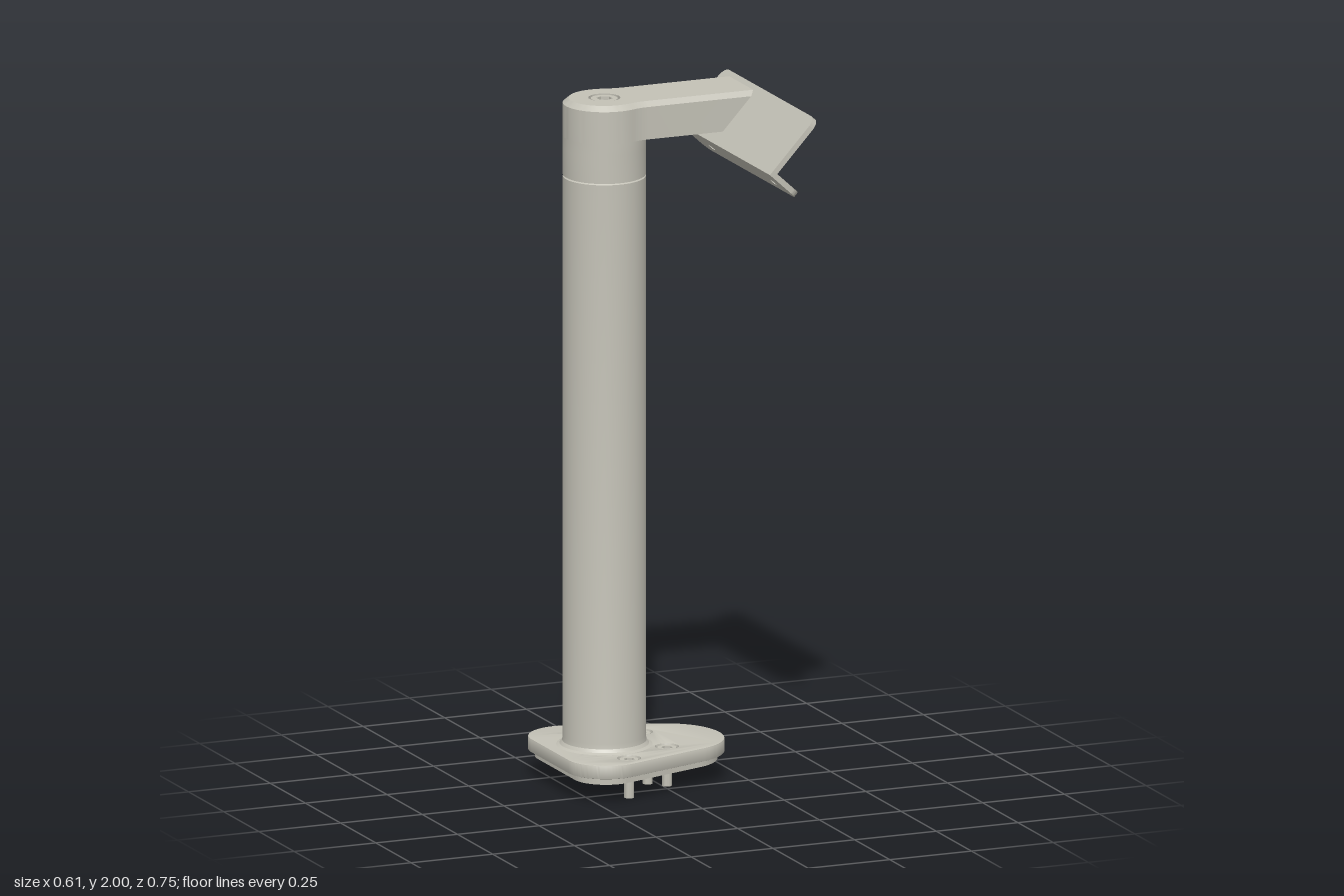
import * as THREE from 'three';
import { toCreasedNormals } from 'three/addons/utils/BufferGeometryUtils.js';

const AX = -0.138, AZ = -0.127; // column axis

export function createModel() {
  const model = new THREE.Group();
  model.name = 'postMount';
  const metal = new THREE.MeshStandardMaterial({ color: 0xc3c1b6 });
  metal.name = 'warm grey metal';

  function add(name, geo, parent = model) {
    const mesh = new THREE.Mesh(toCreasedNormals(geo, 0.5), metal);
    mesh.name = name;
    parent.add(mesh);
    return mesh;
  }

  // Extrude a plan shape (x, -z) upward from y0 to y1
  function slab(shape, y0, y1, options = {}) {
    const bevel = options.bevel || 0;
    const geo = new THREE.ExtrudeGeometry(shape, {
      depth: y1 - y0 - 2 * bevel, steps: options.steps || 1, curveSegments: 24,
      bevelEnabled: bevel > 0, bevelSize: bevel, bevelThickness: bevel, bevelSegments: 2,
    });
    return geo.rotateX(-Math.PI / 2).translate(0, y0 + bevel, 0);
  }

  function circle(x, y, r) {
    const path = new THREE.Path();
    path.absarc(x, y, r, 0, Math.PI * 2, false);
    return path;
  }

  // Cap screw with a hex socket, axis along +z, underside at z = 0
  function screwGeometry(r, height) {
    const shape = new THREE.Shape(circle(0, 0, r).getPoints(24));
    const hex = [];
    for (let i = 0; i < 6; i++) {
      const a = (i + 0.5) * Math.PI / 3;
      hex.push(new THREE.Vector2(Math.cos(a) * r * 0.6, Math.sin(a) * r * 0.6));
    }
    shape.holes.push(new THREE.Path(hex));
    return new THREE.ExtrudeGeometry(shape, { depth: height, bevelEnabled: false });
  }

  // Base outline: three circles joined by tangents, shrunk by inset
  function baseShape(inset) {
    const a = 1.253, r = 0.115 - inset;
    const shape = new THREE.Shape();
    shape.absarc(0.053, -AZ, 0.163 - inset, -a, a, false);
    shape.absarc(-0.19, -AZ + 0.132, r, a, Math.PI, false);
    shape.absarc(-0.19, -AZ - 0.132, r, Math.PI, Math.PI * 2 - a, false);
    shape.closePath();
    return shape;
  }

  // Base plates, screws and pins
  const bolts = [];
  for (const s of [-1, 1]) bolts.push([AX, AZ + s * 0.176], [0.014, AZ + s * 0.092]);
  const plate = baseShape(0.004);
  for (const [x, z] of bolts) plate.holes.push(circle(x, -z, 0.037));
  add('basePlate', slab(plate, 0.075, 0.115, { bevel: 0.004 }));

  const foot = baseShape(0.02);
  const slot = new THREE.Path();
  slot.absarc(AX + 0.08, -AZ, 0.04, -Math.PI / 2, Math.PI / 2, false);
  slot.absarc(AX - 0.08, -AZ, 0.04, Math.PI / 2, Math.PI * 1.5, false);
  slot.closePath();
  foot.holes.push(slot);
  add('footPlate', slab(foot, 0.055, 0.0755));
  const footScrew = add('footScrew', screwGeometry(0.034, 0.017));
  footScrew.rotation.x = Math.PI / 2;
  footScrew.position.set(AX, 0.075, AZ);

  function pin(x, z, bottom) {
    const geo = new THREE.CylinderGeometry(0.014, 0.014, 0.06 - bottom, 16);
    add('pin', geo).position.set(x, (0.06 + bottom) / 2, z);
  }
  for (const [x, z] of bolts) {
    const screw = add('baseScrew', screwGeometry(0.027, 0.036));
    screw.rotation.x = -Math.PI / 2;
    screw.position.set(x, 0.075, z);
    pin(x, z, 0);
  }
  for (const s of [-1, 1]) pin(-0.064, AZ + s * 0.136, 0.024);

  // Column with a flared foot and a fine seam on top
  const profile = [[0.138, 0.114], [0.126, 0.119], [0.119, 0.128], [0.117, 0.142],
    [0.117, 1.762], [0.113, 1.765], [0.113, 1.768], [0, 1.768]];
  add('column', new THREE.LatheGeometry(profile.map(p => new THREE.Vector2(...p)), 48))
    .position.set(AX, 0, AZ);

  // Head collar, notched under the arm
  const notched = new THREE.Shape();
  notched.absarc(AX, -AZ, 0.117, 0.16, Math.PI * 2 - 0.16, false);
  notched.lineTo(AX + 0.08, -AZ - 0.0186);
  notched.lineTo(AX + 0.08, -AZ + 0.0186);
  notched.closePath();
  add('headCollar', slab(notched, 1.767, 1.845));
  add('headRing', new THREE.CylinderGeometry(0.117, 0.117, 0.035, 48)).position.set(AX, 1.8625, AZ);

  // Bracket bend: corner point and direction of the upper panel
  const cx = 0.153, cy = 1.849, dx = 0.678, dy = 0.735;

  // Arm: keyhole outline, chamfered top edge, end cut along the bracket
  const arm = new THREE.Shape();
  const bend = 70 * Math.PI / 180;
  arm.absarc(0, 0, 0.117, bend, Math.PI * 2 - bend, false);
  arm.quadraticCurveTo(0.0675, -0.1, 0.095, -0.1);
  arm.lineTo(0.3, -0.1);
  arm.lineTo(0.3, 0.1);
  arm.lineTo(0.095, 0.1);
  arm.quadraticCurveTo(0.0675, 0.1, 0.117 * Math.cos(bend), 0.117 * Math.sin(bend));
  arm.holes.push(circle(0, 0, 0.045));
  const armGeo = slab(arm, 0, 2, { steps: 2 });
  const pos = armGeo.attributes.position;
  const levels = [1.88, 1.974, 1.988];
  for (let i = 0; i < pos.count; i++) {
    let x = pos.getX(i), z = pos.getZ(i);
    const level = Math.round(pos.getY(i));
    const y = levels[level];
    if (level === 2 && Math.hypot(x, z) > 0.06) {
      z *= 0.85;
      if (x < 0) x *= 0.86;
    }
    if (x > 0.2) x = cx + (y - cy) * dx / dy - AX;
    pos.setXYZ(i, x, y, z);
  }
  add('arm', armGeo).position.set(AX, 0, AZ);
  const armScrew = add('armScrew', screwGeometry(0.038, 0.106));
  armScrew.rotation.x = -Math.PI / 2;
  armScrew.position.set(AX, 1.88, AZ);

  // Bracket: two panels meeting at a right angle, outer corners rounded
  const bracket = new THREE.Group();
  bracket.name = 'bracket';
  model.add(bracket);
  const z0 = -0.268, z1 = 0.374, t = 0.016;
  function panel(name, length, dir, offset, holes) {
    const r = 0.03;
    const shape = new THREE.Shape();
    shape.moveTo(z0, 0);
    shape.lineTo(z1, 0);
    shape.absarc(z1 - r, length - r, r, 0, Math.PI / 2, false);
    shape.absarc(z0 + r, length - r, r, Math.PI / 2, Math.PI, false);
    shape.closePath();
    for (const [z, v, hr] of holes) shape.holes.push(circle(z, v, hr));
    const geo = new THREE.ExtrudeGeometry(shape, { depth: t, bevelEnabled: false, curveSegments: 12 });
    geo.translate(0, 0, offset);
    const m = new THREE.Matrix4().makeBasis(
      new THREE.Vector3(0, 0, 1),
      new THREE.Vector3(dir[0], dir[1], 0),
      new THREE.Vector3(-dir[1], dir[0], 0));
    m.setPosition(cx, cy, 0);
    add(name, geo.applyMatrix4(m), bracket);
  }
  panel('upperPanel', 0.205, [dx, dy], -t,
    [[AZ, 0.108, 0.034], [AZ - 0.067, 0.108, 0.014], [AZ + 0.067, 0.108, 0.014]]);
  panel('lowerPanel', 0.114, [dy, -dx], 0, [[0.278, 0.07, 0.013], [-0.16, 0.07, 0.013]]);

  // Screw holding the bracket to the arm
  const bracketScrew = add('bracketScrew', screwGeometry(0.026, t));
  bracketScrew.position.set(cx + dx * 0.108, cy + dy * 0.108, AZ);
  bracketScrew.lookAt(bracketScrew.position.clone().add(new THREE.Vector3(dy, -dx, 0)));

  return model;
}
